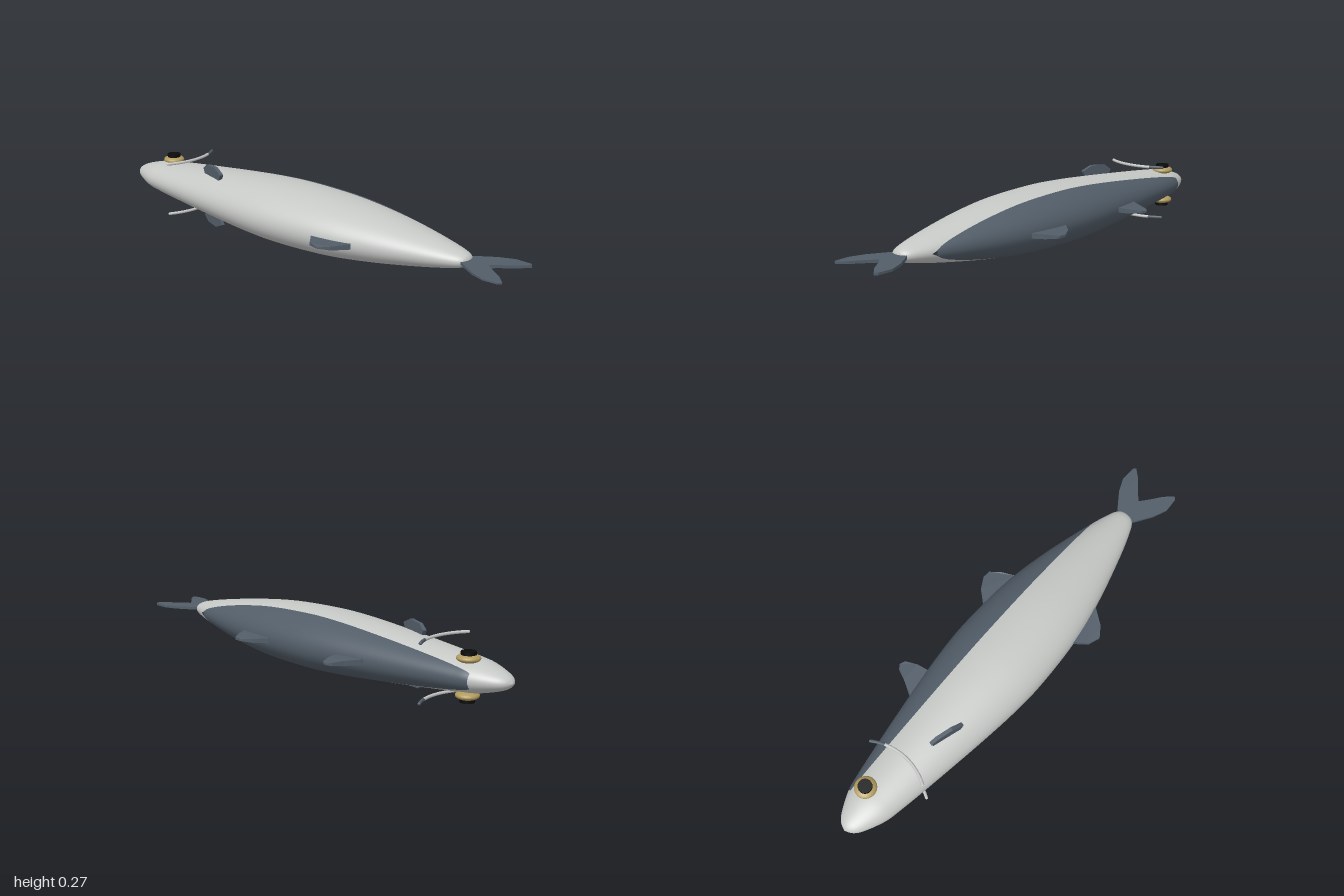
import * as THREE from 'three';

const MID_X = -0.016, MID_Y = 0.135; // long axis of the body
const FLAT = 0.6;                    // body thickness relative to its depth
const BACK_EDGE = 0.068;             // x where the dark back begins
const MASK_Z = -0.87;                // z where the dark back stops at the snout

export function createModel() {
  const model = new THREE.Group();
  model.name = 'fish';

  const colour = (name, hex) => {
    const m = new THREE.MeshStandardMaterial({ color: hex });
    m.name = name;
    return m;
  };
  const silver = colour('silver', 0xc6c8c6);
  const slate = colour('slate', 0x525d68);
  const gold = colour('gold', 0xb09a5c);
  const black = colour('black', 0x0a0a0a);

  const add = (name, geometry, material, x = 0, y = 0, z = 0) => {
    const mesh = new THREE.Mesh(geometry, material);
    mesh.name = name;
    mesh.position.set(x, y, z);
    model.add(mesh);
    return mesh;
  };

  // Body profile: [z, half depth]
  const profile = [
    [-1, 0], [-0.985, 0.032], [-0.95, 0.06], [MASK_Z, 0.097], [-0.8, 0.113], [-0.65, 0.138],
    [-0.4, 0.175], [-0.2, 0.199], [-0.03, 0.207], [0.2, 0.195], [0.4, 0.16],
    [0.6, 0.108], [0.73, 0.066], [0.785, 0.038], [0.8, 0],
  ];
  const STEPS = 6;
  const curve = new THREE.SplineCurve(profile.map(([z, r]) => new THREE.Vector2(z, r)));
  const count = (profile.length - 1) * STEPS;
  const rings = [];
  for (let i = 0; i <= count; i++) {
    const p = curve.getPoint(i / count), t = curve.getTangent(i / count);
    rings.push({ z: p.x, r: Math.max(p.y, 0), dz: t.x, dr: t.y });
  }
  const cut = 3 * STEPS;

  // Skin patch over some rings, between two angles that may vary per ring
  function patch(list, from, to, segments) {
    const pos = [], nor = [], index = [], n = new THREE.Vector3();
    list.forEach((ring, i) => {
      const a0 = from(ring), a1 = to(ring);
      for (let j = 0; j <= segments; j++) {
        const a = a0 + (a1 - a0) * j / segments, c = Math.cos(a), s = Math.sin(a);
        pos.push(MID_X + ring.r * c, MID_Y + ring.r * FLAT * s, ring.z);
        n.set(c * ring.dz, s / FLAT * ring.dz, -ring.dr).normalize();
        nor.push(n.x, n.y, n.z);
        if (i && j) {
          const d = i * (segments + 1) + j, b = d - segments - 1;
          index.push(b - 1, b, d - 1, b, d, d - 1);
        }
      }
    });
    const g = new THREE.BufferGeometry();
    g.setAttribute('position', new THREE.Float32BufferAttribute(pos, 3));
    g.setAttribute('normal', new THREE.Float32BufferAttribute(nor, 3));
    g.setIndex(index);
    return g;
  }
  const edge = ({ r }) => Math.acos(Math.min(1, (BACK_EDGE - MID_X) / Math.max(r, 1e-5)));
  const rear = rings.slice(cut);
  add('snout', patch(rings.slice(0, cut + 1), () => 0, () => 2 * Math.PI, 48), silver);
  add('flanksAndBelly', patch(rear, edge, (q) => 2 * Math.PI - edge(q), 40), silver);
  add('back', patch(rear.filter((q) => edge(q) > 0), (q) => -edge(q), edge, 20), slate);

  const outline = (points) => new THREE.Shape(points.map(([x, y]) => new THREE.Vector2(x, y)));

  // Fin lying in the x-z plane, thinning from its root to its tip
  function fin(name, points, thickness, root, tip) {
    const g = new THREE.ExtrudeGeometry(outline(points), { depth: thickness, bevelEnabled: false });
    g.translate(0, 0, -thickness / 2).rotateX(Math.PI / 2);
    const p = g.attributes.position;
    for (let i = 0; i < p.count; i++) {
      const t = Math.min(1, Math.max(0, (Math.abs(p.getX(i)) - root) / (tip - root)));
      p.setY(i, p.getY(i) * Math.max(0.12, Math.sqrt(1 - t * t)));
    }
    g.computeVertexNormals();
    add(name, g, slate, 0, MID_Y, 0);
  }
  fin('frontDorsalFin', [[0.13, -0.43], [0.16, -0.42], [0.22, -0.385], [0.265, -0.365],
    [0.28, -0.345], [0.27, -0.322], [0.22, -0.3], [0.13, -0.285]], 0.022, 0.16, 0.285);
  fin('rearDorsalFin', [[0.15, 0.075], [0.19, 0.08], [0.24, 0.125], [0.268, 0.175],
    [0.265, 0.208], [0.22, 0.24], [0.165, 0.265], [0.14, 0.255]], 0.022, 0.16, 0.28);
  fin('analFin', [[-0.16, 0.18], [-0.2, 0.18], [-0.262, 0.225], [-0.281, 0.275],
    [-0.25, 0.32], [-0.188, 0.367], [-0.15, 0.35]], 0.022, 0.18, 0.283);

  // Forked tail, mirrored about the body axis
  const lobe = [[0.03, 0.77], [0.052, 0.8], [0.095, 0.865], [0.12, 0.925], [0.117, 0.99],
    [0.105, 1], [0.068, 0.965], [0.03, 0.915]];
  fin('tailFin', [
    ...lobe.map(([x, z]) => [MID_X + x, z]), [MID_X, 0.88],
    ...lobe.map(([x, z]) => [MID_X - x, z]).reverse(),
  ], 0.012, 0.03, 0.15);

  for (const side of [1, -1]) {
    const prefix = side > 0 ? 'upper' : 'lower';

    // Pectoral fin standing out from the flank
    const pectoral = new THREE.ExtrudeGeometry(outline([[-0.075, 0.108], [-0.045, 0.13],
      [0.025, 0.135], [0.075, 0.113], [0.06, 0.085], [-0.06, 0.075],
    ].map(([a, y]) => [a, y * side])), { depth: 0.016, bevelEnabled: false });
    pectoral.translate(0, 0, -0.008).rotateY(-Math.PI / 2 - 0.3);
    add(prefix + 'PectoralFin', pectoral, slate, -0.088, MID_Y, -0.465);

    // Gill arc, dark where it meets the back
    const R = 0.255, tube = 0.0065, start = 1.004, split = 1.235, end = 2.138;
    const y = MID_Y + side * 0.115, z = -0.64 - R;
    for (const [name, a, b, material, tip] of [
      ['GillBackPart', start, split, slate, start], ['GillArc', split, end, silver, end],
    ]) {
      const g = new THREE.TorusGeometry(R, tube, 8, 20, b - a).rotateZ(a).rotateX(Math.PI / 2);
      add(prefix + name, g, material, MID_X, y, z);
      add(prefix + name + 'Tip', new THREE.SphereGeometry(tube, 8, 6), material,
        MID_X + R * Math.cos(tip), y, z + R * Math.sin(tip));
    }

    // Eye: flattened gold iris with a raised pupil
    const iris = new THREE.SphereGeometry(0.046, 24, 12).scale(1, 0.38, 1);
    add(prefix + 'Iris', iris, gold, 0.021, MID_Y + side * 0.07, -0.825);
    const pupil = new THREE.CylinderGeometry(0.029, 0.029, 0.02, 20);
    add(prefix + 'Pupil', pupil, black, 0.021, MID_Y + side * 0.086, -0.825);
  }
  return model;
}
